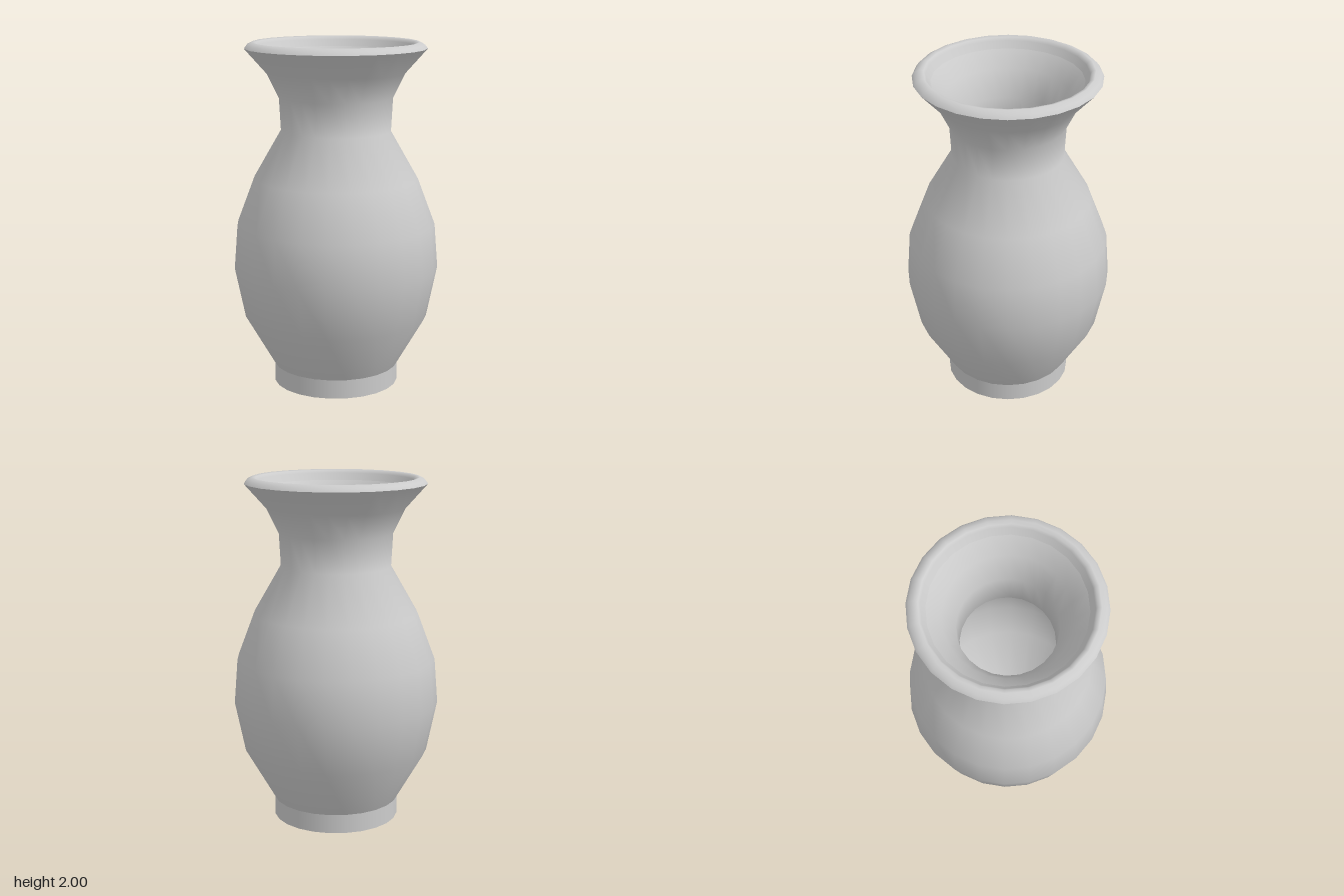
import * as THREE from 'three';

const SIDES = 24;

export function createModel() {
  const vase = new THREE.Group();
  vase.name = 'vase';
  const material = new THREE.MeshStandardMaterial({ color: 0xcccccc });

  // Each section is its own lathe, so edges between sections stay sharp.
  const turn = (name, profile) => {
    const points = profile.map(([r, y]) => new THREE.Vector2(r, y));
    const mesh = new THREE.Mesh(new THREE.LatheGeometry(points, SIDES), material);
    mesh.name = name;
    vase.add(mesh);
  };

  // Foot: flat underside and short straight band
  turn('footBase', [[0, 0], [0.365, 0]]);
  turn('footBand', [[0.365, 0], [0.365, 0.11]]);

  // Outer wall: belly, neck and flared mouth
  turn('outerWall', [
    [0.365, 0.11], [0.535, 0.405], [0.595, 0.7], [0.575, 0.955], [0.475, 1.22],
    [0.317, 1.495], [0.327, 1.685], [0.395, 1.825], [0.52, 1.965],
  ]);

  // Rounded lip
  turn('lip', [[0.52, 1.965], [0.505, 1.985], [0.475, 2], [0.455, 1.995], [0.445, 1.98]]);

  // Inner wall: steep edge under the lip, then down to the floor
  turn('innerLip', [[0.445, 1.98], [0.42, 1.94]]);
  turn('innerWall', [
    [0.42, 1.94], [0.345, 1.85], [0.275, 1.7], [0.263, 1.485], [0.425, 1.2],
    [0.52, 0.945], [0.54, 0.7], [0.485, 0.425], [0.29, 0.11],
  ]);
  turn('floor', [[0.29, 0.11], [0, 0.11]]);

  return vase;
}
